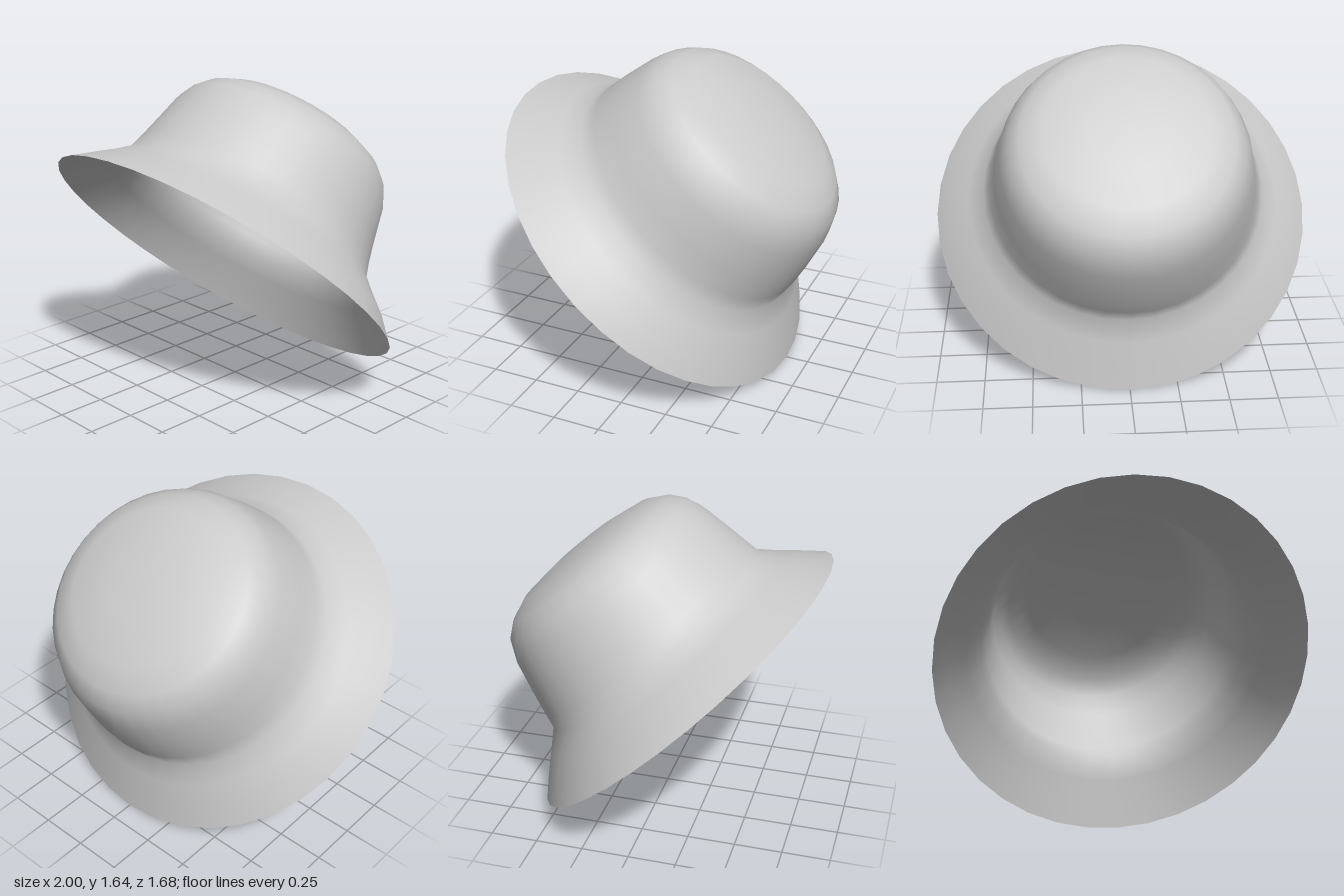
import * as THREE from 'three';

const SEGMENTS = 36;

// Tilted elliptical rings from brim edge to crown top:
// [front z, front y, back z, back y, half width]
const RINGS = [
  [0.84, 1.375, -0.63, 0.01, 1.0],
  [0.7, 1.372, -0.62, 0.15, 0.92],
  [0.57, 1.37, -0.61, 0.28, 0.82],
  [0.46, 1.375, -0.6, 0.41, 0.735], // crease between brim and crown
  [0.39, 1.43, -0.65, 0.48, 0.7],
  [0.3, 1.5, -0.71, 0.58, 0.67],
  [0.16, 1.6, -0.8, 0.75, 0.635],
  [0.08, 1.638, -0.838, 0.88, 0.59],
  [-0.01, 1.652, -0.82, 0.98, 0.53],
  [-0.12, 1.632, -0.76, 1.1, 0.42],
  [-0.28, 1.54, -0.62, 1.255, 0.21],
  [-0.45, 1.41, -0.45, 1.41, 0], // crown centre
];
const CREASE = 3;

// Quads joining rings "from" to "to", facing outwards
function bandIndices(from, to) {
  const index = [];
  for (let i = from; i < to; i++) {
    for (let j = 0; j < SEGMENTS; j++) {
      const k = (j + 1) % SEGMENTS;
      const a = i * SEGMENTS + j, b = i * SEGMENTS + k;
      const c = a + SEGMENTS, d = b + SEGMENTS;
      index.push(a, b, d);
      if (i < RINGS.length - 2) index.push(a, d, c);
      else index.splice(-3, 3, a, b, (RINGS.length - 1) * SEGMENTS);
    }
  }
  return index;
}

export function createModel() {
  const hat = new THREE.Group();
  hat.name = 'hat';

  const positions = [];
  for (const [fz, fy, bz, by, width] of RINGS) {
    for (let j = 0; j < SEGMENTS; j++) {
      const angle = (j / SEGMENTS) * Math.PI * 2;
      const t = (1 + Math.cos(angle)) / 2; // 1 at the front, 0 at the back
      positions.push(width * Math.sin(angle), by + (fy - by) * t, bz + (fz - bz) * t);
    }
  }

  // One shell supplies the normals, so brim and crown blend smoothly
  const shell = new THREE.BufferGeometry();
  shell.setAttribute('position', new THREE.Float32BufferAttribute(positions, 3));
  shell.setIndex(bandIndices(0, RINGS.length - 1));
  shell.computeVertexNormals();

  const felt = new THREE.MeshStandardMaterial({ color: 0xcccccc, side: THREE.DoubleSide });
  const addPart = (name, from, to) => {
    const geometry = new THREE.BufferGeometry();
    geometry.setAttribute('position', shell.getAttribute('position').clone());
    geometry.setAttribute('normal', shell.getAttribute('normal').clone());
    geometry.setIndex(bandIndices(from, to));
    const mesh = new THREE.Mesh(geometry, felt);
    mesh.name = name;
    hat.add(mesh);
  };

  addPart('brim', 0, CREASE);
  addPart('crown', CREASE, RINGS.length - 1);
  return hat;
}
